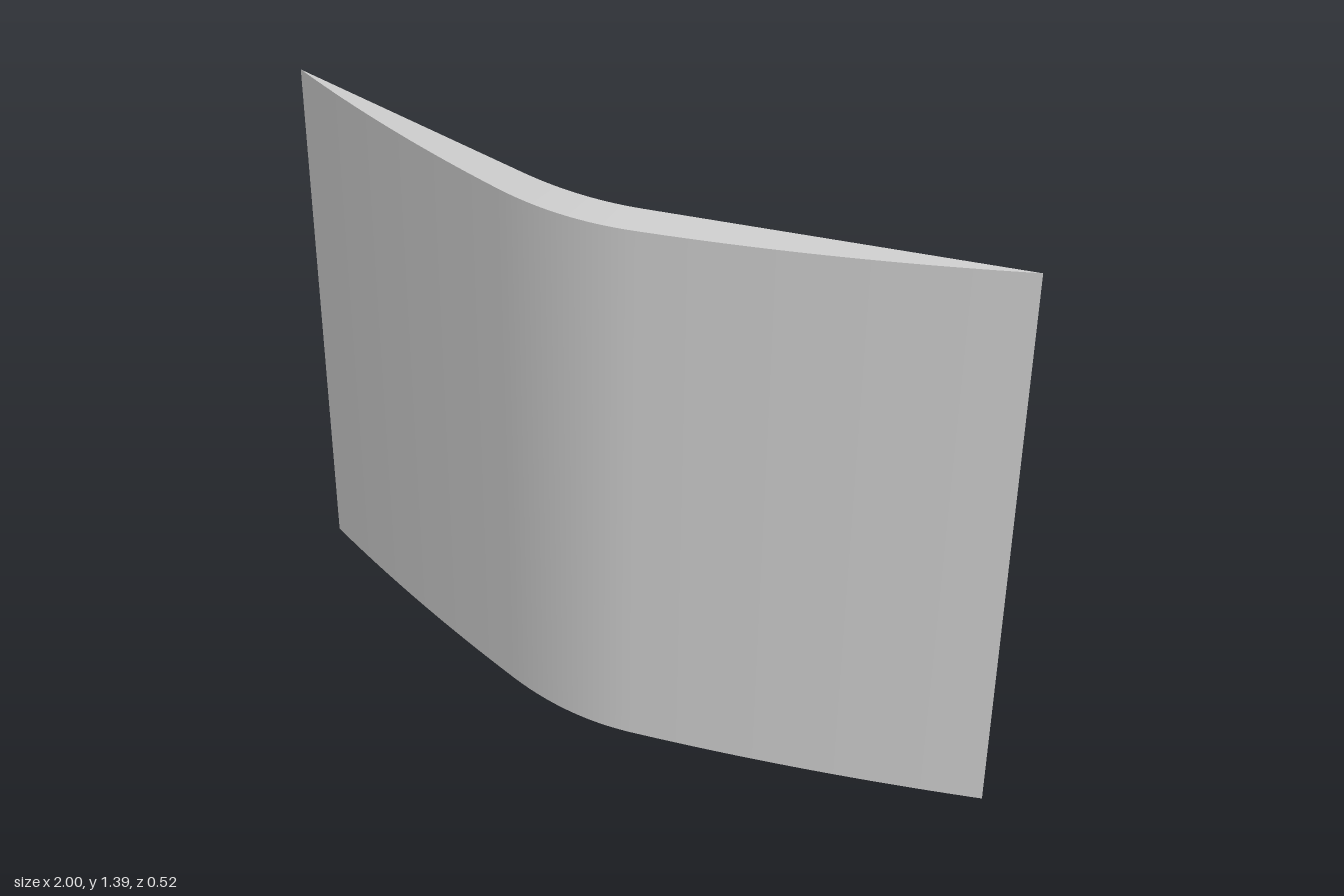
import * as THREE from 'three';

const HEIGHT = 1.39, THICKNESS = 0.075, TOP_DROP = 0.02;

// Plan outline of the back face: two straight wings joined by a soft bend
function backPlan() {
  const v = (x, z) => new THREE.Vector2(x, z);
  const path = new THREE.CurvePath();
  path.add(new THREE.LineCurve(v(-1, -0.26), v(-0.2, 0.11)));
  path.add(new THREE.QuadraticBezierCurve(v(-0.2, 0.11), v(-0.023, 0.192), v(0.13, 0.187)));
  path.add(new THREE.LineCurve(v(0.13, 0.187), v(1, 0.16)));
  return path;
}

// Smooth strip between two equally long rows of points; shared end points close to a tip
function strip(name, lower, upper, material) {
  const n = lower.length, index = [];
  for (let i = 0; i < n - 1; i++) {
    if (lower[i + 1].distanceTo(upper[i + 1]) > 1e-6) index.push(i, i + 1, n + i + 1);
    if (lower[i].distanceTo(upper[i]) > 1e-6) index.push(i, n + i + 1, n + i);
  }
  const geometry = new THREE.BufferGeometry().setFromPoints([...lower, ...upper]);
  geometry.setIndex(index);
  geometry.computeVertexNormals();
  const mesh = new THREE.Mesh(geometry, material);
  mesh.name = name;
  return mesh;
}

export function createModel() {
  const group = new THREE.Group();
  group.name = 'curvedPanel';
  const material = new THREE.MeshStandardMaterial({ color: 0xcccccc });

  const path = backPlan(), steps = 96;
  const backLow = [], backTop = [], frontLow = [], frontTop = [];
  for (let i = 0; i <= steps; i++) {
    const p = path.getPointAt(i / steps), t = path.getTangentAt(i / steps);
    // The panel swells towards the middle and tapers to sharp side edges
    const swell = i === 0 || i === steps ? 0 : 1 - p.x * p.x;
    const fx = p.x - t.y * THICKNESS * swell;
    const fz = p.y + t.x * THICKNESS * swell;
    backLow.push(new THREE.Vector3(p.x, 0, p.y));
    backTop.push(new THREE.Vector3(p.x, HEIGHT, p.y));
    frontLow.push(new THREE.Vector3(fx, 0, fz));
    frontTop.push(new THREE.Vector3(fx, HEIGHT - TOP_DROP * swell, fz));
  }

  group.add(
    strip('frontFace', frontLow, frontTop, material),
    strip('backFace', backTop, backLow, material),
    strip('topEdge', frontTop, backTop, material),
    strip('bottomEdge', backLow, frontLow, material),
  );
  return group;
}
